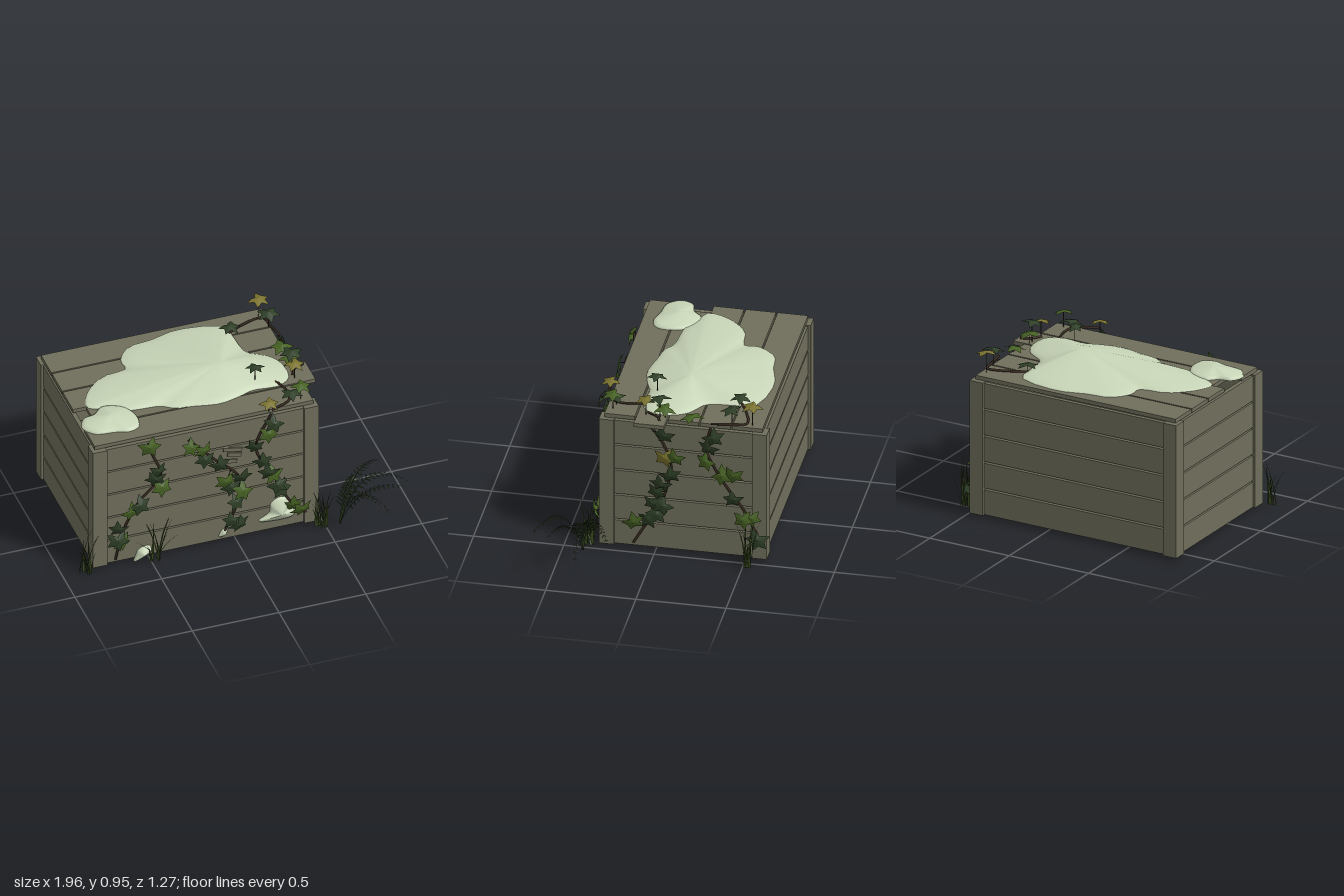
import * as THREE from 'three';

const mat = (name, color, double) => {
  const m = new THREE.MeshStandardMaterial({ color });
  m.name = name;
  if (double) m.side = THREE.DoubleSide;
  return m;
};
const V = (x, y, z) => new THREE.Vector3(x, y, z);

export function createModel() {
  const root = new THREE.Group();
  const wood = mat('weathered wood', 0x706f5c);
  const mossMat = mat('pale moss', 0xc9d6b8, true);
  const bark = mat('vine bark', 0x3b2d22);
  const grassMat = mat('grass green', 0x38491f, true);
  const fernMat = mat('fern green', 0x2c3c1e, true);
  const leafMats = {
    d: mat('dark ivy', 0x2e3f27, true),
    m: mat('mid ivy', 0x466123, true),
    y: mat('yellow ivy', 0x7b732f, true),
  };
  Object.values(leafMats).forEach(m => { m.flatShading = true; });

  let seed = 7;
  const rnd = (a, b) => {
    seed = (seed * 16807) % 2147483647;
    return a + (b - a) * seed / 2147483647;
  };
  const add = (parent, name, geo, m) => {
    const mesh = new THREE.Mesh(geo, m);
    mesh.name = name;
    parent.add(mesh);
    return mesh;
  };
  const group = (name, parent = root) => {
    const g = new THREE.Group();
    g.name = name;
    parent.add(g);
    return g;
  };
  const box = (parent, name, x0, x1, y0, y1, z0, z1) => {
    const b = add(parent, name, new THREE.BoxGeometry(x1 - x0, y1 - y0, z1 - z0), wood);
    b.position.set((x0 + x1) / 2, (y0 + y1) / 2, (z0 + z1) / 2);
    return b;
  };
  const surface = (pos, idx) => {
    const g = new THREE.BufferGeometry();
    g.setAttribute('position', new THREE.Float32BufferAttribute(pos, 3));
    g.setIndex(idx);
    g.computeVertexNormals();
    return g;
  };

  // Crate: corner posts, five slats per wall, open below
  const crate = group('crate');
  for (const x of [-0.83, 0.39])
    for (const z of [-0.62, 0.228]) box(crate, 'cornerPost', x, x + 0.083, 0.025, 0.803, z, z + 0.083);
  for (let i = 0; i < 5; i++) {
    const y0 = 0.026 + i * 0.156, y1 = y0 + 0.146;
    box(crate, 'frontSlat', -0.76, 0.41, y0, y1, 0.27, 0.295);
    box(crate, 'backSlat', -0.76, 0.41, y0, y1, -0.603, -0.578);
    box(crate, 'leftSlat', 0.433, 0.458, y0, y1, -0.55, 0.24);
    box(crate, 'rightSlat', -0.815, -0.79, y0, y1, -0.55, 0.24);
  }
  // Lid boards, one slipped sideways
  [[-0.81, 0.45], [-0.81, 0.45], [-0.81, 0.45], [-0.735, 0.525], [-0.81, 0.45]].forEach(([a, b], i) =>
    box(crate, 'lidBoard', a, b, 0.805, 0.828, -0.592 + i * 0.177, -0.424 + i * 0.177));
  // Splintered chips on the front
  for (const [x, y, w] of [[-0.02, 0.62, 0.11], [-0.01, 0.585, 0.08], [-0.03, 0.545, 0.07]])
    box(crate, 'splinter', x - w / 2, x + w / 2, y - 0.012, y + 0.012, 0.294, 0.303).rotation.z = -0.2;

  // Growing surfaces: local z points out of the board
  const front = group('frontGrowth');
  front.position.z = 0.297;
  const side = group('sideGrowth');
  side.rotation.y = Math.PI / 2;
  side.position.x = 0.46;
  const lid = group('lidGrowth');
  lid.rotation.x = -Math.PI / 2;
  lid.position.y = 0.828;

  // Moss cushion: rings shrinking from an outline to a peak
  function moss(parent, name, outline, cx, cy, h, rim) {
    const pts2 = outline.map(p => new THREE.Vector2(...p));
    if (THREE.ShapeUtils.isClockWise(pts2)) pts2.reverse();
    const curve = new THREE.CatmullRomCurve3(pts2.map(p => V(p.x, p.y, 0)), true);
    const n = 60, ring = curve.getPoints(n).slice(0, n), pos = [], idx = [];
    const levels = [[1, 0], [0.985, rim], [0.85, rim + (h - rim) * 0.22], [0.6, rim + (h - rim) * 0.5],
      [0.3, rim + (h - rim) * 0.83], [0.1, h * 0.98]];
    for (const [s, z] of levels)
      for (const p of ring) pos.push(cx + (p.x - cx) * s, cy + (p.y - cy) * s, z);
    pos.push(cx, cy, h);
    for (let l = 0; l < levels.length; l++)
      for (let i = 0; i < n; i++) {
        const a = l * n + i, b = l * n + (i + 1) % n;
        if (l === levels.length - 1) idx.push(a, b, levels.length * n);
        else idx.push(a, b, b + n, a, b + n, a + n);
      }
    add(parent, name, surface(pos, idx), mossMat);
  }
  moss(lid, 'lidMoss', [[-0.04, 0.56], [0.21, 0.5], [0.23, 0.38], [0.25, 0.24], [0.35, 0.17], [0.4, 0.08],
    [0.39, -0.05], [0.31, -0.1], [0.17, -0.09], [0.08, -0.12], [-0.04, -0.145], [-0.18, -0.12], [-0.29, -0.1],
    [-0.35, -0.06], [-0.53, -0.04], [-0.66, 0.02], [-0.73, 0.06], [-0.69, 0.18], [-0.57, 0.29], [-0.42, 0.32],
    [-0.42, 0.4], [-0.34, 0.5], [-0.21, 0.52]], 0.06, 0.12, 0.07, 0.008);
  moss(lid, 'smallLidMoss', [[-0.66, 0.03], [-0.56, 0], [-0.51, -0.09], [-0.52, -0.19], [-0.58, -0.22],
    [-0.66, -0.2], [-0.77, -0.18], [-0.82, -0.11], [-0.79, -0.04], [-0.72, -0.02]], -0.65, -0.09, 0.038, 0.012);
  moss(front, 'frontMoss', [[0.13, 0.1], [0.2, 0.085], [0.32, 0.09], [0.34, 0.12], [0.3, 0.15], [0.3, 0.21],
    [0.25, 0.23], [0.2, 0.2], [0.19, 0.14]], 0.25, 0.14, 0.045, 0.01);
  moss(front, 'frontMoss', [[-0.59, 0.005], [-0.53, 0.03], [-0.49, 0.06], [-0.5, 0.09], [-0.56, 0.08],
    [-0.58, 0.04]], -0.54, 0.055, 0.04, 0.01);
  moss(front, 'frontMoss', [[-0.1, 0.05], [-0.06, 0.06], [-0.05, 0.1], [-0.08, 0.09]], -0.07, 0.075, 0.03, 0.008);

  // Ivy leaf: five-lobed fan, cupped, tip toward -y
  const half = [[0, -1.1], [0.3, -0.5], [0.95, -0.45], [0.6, 0.05], [0.8, 0.65], [0.25, 0.5]];
  const rim = [...half, [0, 0.3], ...half.slice(1).reverse().map(([x, y]) => [-x, y])];
  const leafPos = [0, 0, 0.12], leafIdx = [];
  rim.forEach(([x, y], i) => {
    leafPos.push(x, y, -0.2 * (x * x + y * y));
    leafIdx.push(0, i + 1, (i + 1) % rim.length + 1);
  });
  const leafGeo = surface(leafPos, leafIdx);

  // Vine: a creeping stem with leaves [x, y, colour, height] on thin stalks
  function vine(parent, stem, leaves) {
    const g = group('ivyVine', parent);
    const curve = new THREE.CatmullRomCurve3(stem.map(([x, y]) => V(x, y, 0.012)));
    add(g, 'vineStem', new THREE.TubeGeometry(curve, 32, 0.007, 5), bark);
    const samples = curve.getPoints(40);
    for (const [x, y, c, h] of leaves) {
      const p = V(x, y, h ?? rnd(0.035, 0.065));
      const leaf = add(g, 'ivyLeaf', leafGeo, leafMats[c]);
      leaf.position.copy(p);
      leaf.scale.setScalar(rnd(0.055, 0.067));
      const tilt = h ? 0.12 : 0.3;
      leaf.rotation.set(rnd(-tilt, tilt), rnd(-tilt, tilt), rnd(-1, 1));
      const near = samples.reduce((a, b) => (a.distanceTo(p) < b.distanceTo(p) ? a : b));
      const from = h ? V(x, y, 0) : near;
      add(g, 'leafStalk', new THREE.TubeGeometry(new THREE.LineCurve3(from, p), 1, 0.0025, 4), bark);
    }
  }
  vine(front, [[-0.51, 0.8], [-0.49, 0.72], [-0.44, 0.55], [-0.57, 0.4], [-0.66, 0.22], [-0.7, 0.05]],
    [[-0.51, 0.78, 'm'], [-0.465, 0.62, 'd'], [-0.48, 0.57, 'd'], [-0.445, 0.51, 'm'], [-0.575, 0.42, 'd'],
      [-0.62, 0.385, 'm'], [-0.69, 0.275, 'd'], [-0.67, 0.185, 'm'], [-0.7, 0.21, 'd']]);
  vine(front, [[-0.28, 0.76], [-0.12, 0.58], [0.01, 0.44], [0, 0.26], [-0.08, 0.06]],
    [[-0.27, 0.73, 'm'], [-0.2, 0.69, 'm'], [-0.19, 0.62, 'd'], [-0.11, 0.57, 'd'], [-0.075, 0.45, 'm'],
      [0.015, 0.46, 'd'], [-0.04, 0.4, 'd'], [0.025, 0.37, 'm'], [-0.01, 0.295, 'd'], [-0.04, 0.18, 'd'], [0, 0.15, 'd']]);
  vine(front, [[0.2, 0.82], [0.11, 0.61], [0.2, 0.42], [0.3, 0.21], [0.4, 0.1]],
    [[0.2, 0.78, 'd'], [0.18, 0.7, 'm'], [0.09, 0.65, 'd'], [0.13, 0.545, 'd'], [0.2, 0.44, 'm'], [0.17, 0.46, 'd'],
      [0.25, 0.315, 'd'], [0.22, 0.36, 'd'], [0.31, 0.19, 'm'], [0.36, 0.165, 'm']]);
  vine(side, [[-0.03, 0.8], [0.05, 0.68], [0.09, 0.56], [0.065, 0.41], [0.015, 0.275], [-0.06, 0.155], [-0.12, 0.05]],
    [[0.055, 0.755, 'd'], [0.06, 0.62, 'y'], [0.12, 0.63, 'm'], [0.085, 0.51, 'd'], [0.015, 0.41, 'd'],
      [0.04, 0.45, 'd'], [-0.005, 0.33, 'd'], [0.05, 0.32, 'd'], [0.015, 0.26, 'd'], [-0.035, 0.225, 'd'], [-0.115, 0.205, 'm']]);
  vine(side, [[0.31, 0.82], [0.285, 0.68], [0.335, 0.56], [0.405, 0.445], [0.49, 0.325], [0.57, 0.17]],
    [[0.325, 0.765, 'd'], [0.285, 0.615, 'm'], [0.3, 0.7, 'd'], [0.375, 0.54, 'm'], [0.44, 0.55, 'm'],
      [0.44, 0.395, 'd'], [0.495, 0.29, 'm'], [0.54, 0.29, 'm'], [0.575, 0.165, 'd']]);
  vine(lid, [[0.2, -0.31], [0.33, -0.24], [0.3, -0.06], [0.2, -0.03]],
    [[0.2, -0.04, 'd', 0.12], [0.19, -0.3, 'y', 0.06], [0.39, -0.25, 'm', 0.095], [0.34, -0.24, 'd', 0.05]]);
  vine(lid, [[0.47, 0.31], [0.45, 0.42], [0.43, 0.5], [0.3, 0.47], [0.2, 0.42]],
    [[0.22, 0.43, 'd', 0.055], [0.42, 0.53, 'y', 0.122], [0.44, 0.42, 'd', 0.1], [0.44, 0.2, 'm', 0.03]]);
  vine(lid, [[0.5, 0.03], [0.45, 0.01], [0.41, -0.05]],
    [[0.42, -0.06, 'y', 0.1], [0.43, 0.02, 'd', 0.12], [0.43, 0.05, 'm', 0.06]]);

  // Tapered ribbon along a curve
  function ribbon(curve, w, n = 6) {
    const pos = [], idx = [], d = curve.getPoint(1).sub(curve.getPoint(0));
    const across = V(-d.z, 0, d.x).normalize();
    for (let i = 0; i <= n; i++) {
      const p = curve.getPoint(i / n), k = across.clone().multiplyScalar(w / 2 * (1 - 0.95 * i / n));
      pos.push(p.x - k.x, p.y, p.z - k.z, p.x + k.x, p.y, p.z + k.z);
      if (i < n) idx.push(2 * i, 2 * i + 1, 2 * i + 3, 2 * i, 2 * i + 3, 2 * i + 2);
    }
    return surface(pos, idx);
  }
  // Grass tufts: x, z, blades, spread, height
  for (const [x, z, count, r, h] of [[-0.88, 0.335, 11, 0.1, 0.3], [-0.48, 0.35, 10, 0.13, 0.31],
    [0.47, 0.36, 16, 0.1, 0.3], [0.55, -0.53, 14, 0.1, 0.31]]) {
    const tuft = group('grassTuft');
    for (let i = 0; i < count; i++) {
      const a = i * 2.4, s = rnd(0.3, 1) * r, y = h * rnd(0.5, 1);
      const b = V(x + rnd(-0.03, 0.03), 0.02, z + rnd(-0.02, 0.02));
      const tip = V(x + Math.cos(a) * s, y, z + Math.sin(a) * s * 0.8);
      const mid = b.clone().lerp(tip, 0.3).setY(y * 0.65);
      add(tuft, 'grassBlade', ribbon(new THREE.QuadraticBezierCurve3(b, mid, tip), 0.014), grassMat);
    }
  }

  // Fern: arching fronds with paired leaflets
  const fern = group('fern');
  for (const [tx, ty, tz, peak] of [[0.87, 0.25, 0.18, 0.4], [1, 0.165, 0.34, 0.48], [0.92, 0.28, 0.51, 0.34],
    [0.78, 0.21, 0.63, 0.42], [0.68, 0.27, 0.3, 0.3]]) {
    const b = V(0.57, 0.03, 0.38), tip = V(tx, ty, tz);
    const c = new THREE.QuadraticBezierCurve3(b, b.clone().lerp(tip, 0.3).setY(peak), tip);
    add(fern, 'frondRib', ribbon(c, 0.012, 12), fernMat);
    const pos = [], idx = [];
    for (let i = 0; i < 13; i++) {
      const t = 0.22 + i * 0.06, p = c.getPoint(t), f = c.getTangent(t);
      const s = V(-f.z, 0, f.x).normalize(), len = 0.055 * (1.15 - t);
      for (const k of [-1, 1]) {
        const o = pos.length / 3, e = p.clone().addScaledVector(s, k * len).addScaledVector(f, len * 0.5);
        const m = p.clone().lerp(e, 0.45), q = f.clone().multiplyScalar(0.006);
        for (const v of [p, m.clone().sub(q), e.setY(e.y - 0.006), m.clone().add(q)]) pos.push(v.x, v.y, v.z);
        idx.push(o, o + 1, o + 2, o, o + 2, o + 3);
      }
    }
    add(fern, 'frondLeaflets', surface(pos, idx), fernMat);
  }
  return root;
}
